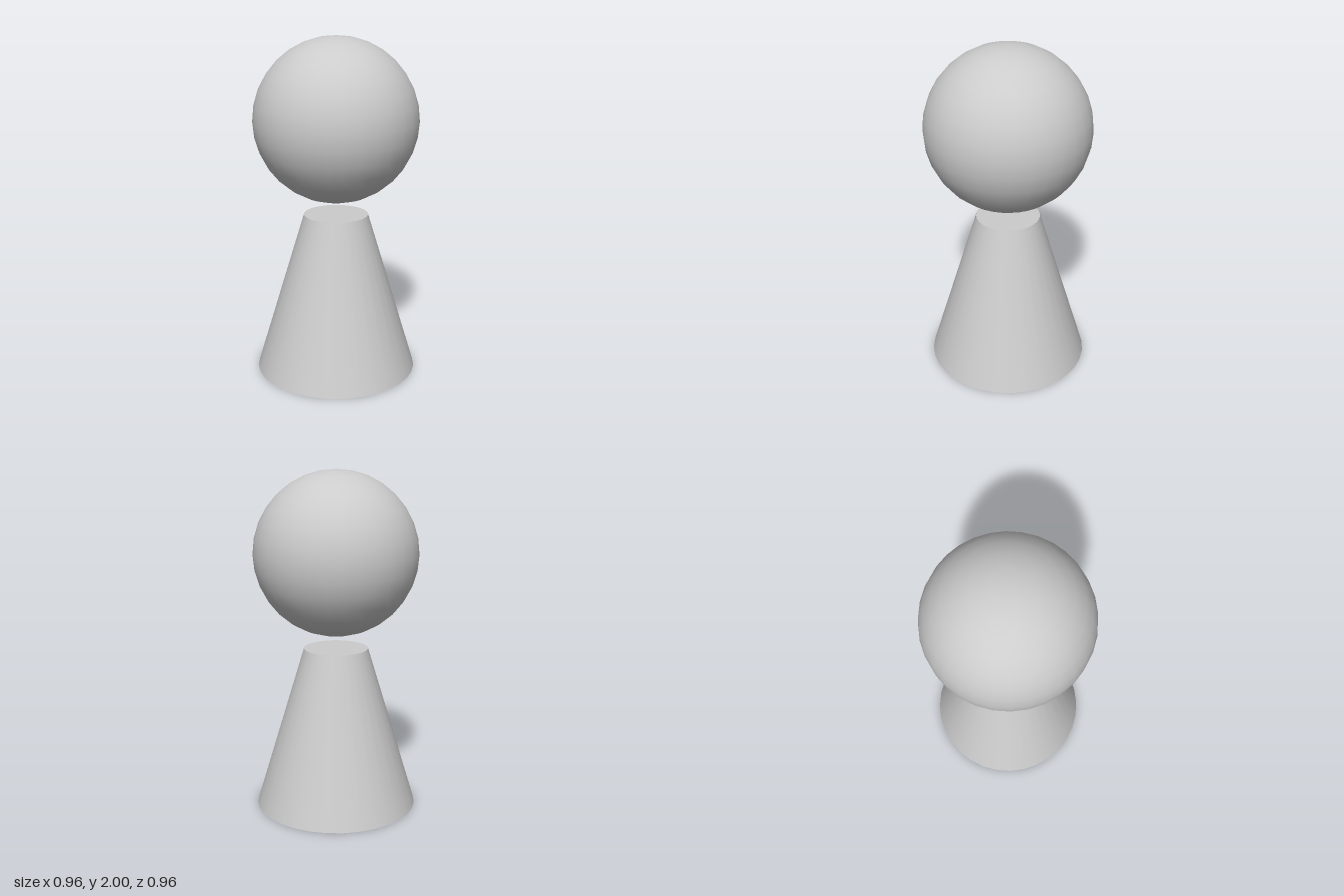
import * as THREE from 'three';

export function createModel() {
  const group = new THREE.Group();
  const material = new THREE.MeshStandardMaterial({ color: 0xcccccc });
  const radius = 0.48;
  const bodyHeight = 0.96;

  const add = (name, geometry, y) => {
    const mesh = new THREE.Mesh(geometry, material);
    mesh.name = name;
    mesh.position.y = y;
    group.add(mesh);
  };

  // Tapered body with closed ends, standing on the ground
  add('body', new THREE.CylinderGeometry(0.19, radius, bodyHeight, 32), bodyHeight / 2);

  // Ball head floating just above the body
  add('head', new THREE.SphereGeometry(radius, 32, 16), 2 - radius);

  return group;
}
